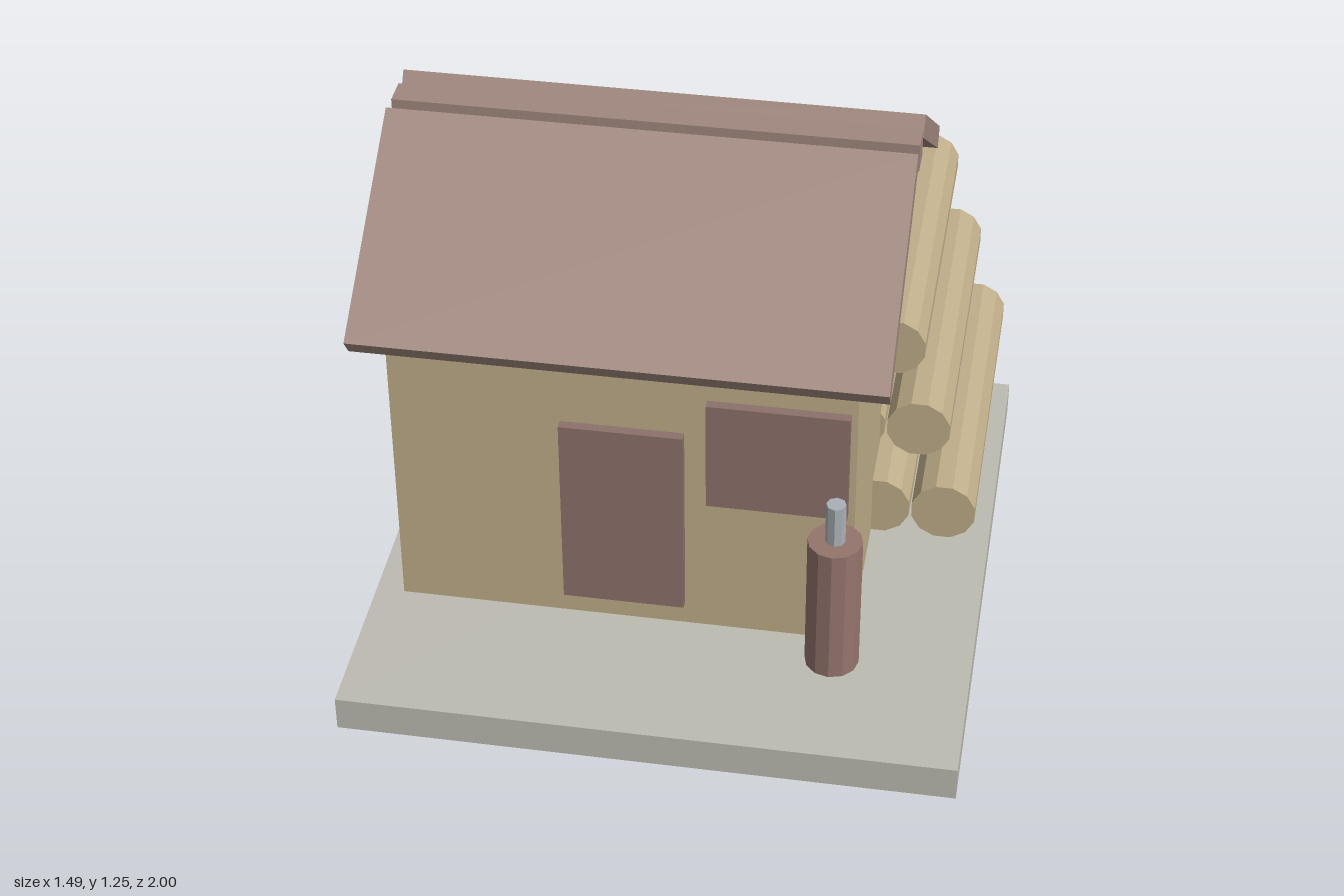
import * as THREE from 'three';

const mat = (color) => new THREE.MeshStandardMaterial({ color, flatShading: true });

export function createModel() {
  const group = new THREE.Group();
  const stone = mat(0xbdbbb2), timber = mat(0xc0ae8a), roofing = mat(0xa1887f);
  const panel = mat(0x8d716c), drum = mat(0x94756d), metal = mat(0xa9b0b5);

  const add = (name, geometry, material, x, y, z) => {
    const mesh = new THREE.Mesh(geometry, material);
    mesh.name = name;
    mesh.position.set(x, y, z);
    group.add(mesh);
    return mesh;
  };
  // Box given by its lower and upper limits on each axis
  const box = (name, material, [x0, x1], [y0, y1], [z0, z1]) =>
    add(name, new THREE.BoxGeometry(x1 - x0, y1 - y0, z1 - z0), material,
      (x0 + x1) / 2, (y0 + y1) / 2, (z0 + z1) / 2);

  // Slab and cabin
  box('base', stone, [-0.743, 0.743], [0, 0.09], [-0.486, 1]);
  box('cabinWalls', timber, [-0.673, 0.443], [0.09, 0.865], [-0.371, 0.595]);
  box('door', panel, [-0.262, 0.035], [0.157, 0.68], [0.58, 0.619]);
  box('window', panel, [0.09, 0.427], [0.487, 0.784], [0.58, 0.619]);

  // Roof: two tilted slabs either side of a ridge beam
  const midX = -0.113, roofWidth = 1.265, ridgeZ = 0.11;
  for (const side of [1, -1]) {
    const slab = add(side > 0 ? 'frontRoof' : 'backRoof',
      new THREE.BoxGeometry(roofWidth, 0.056, 0.592), roofing, midX, 1.06, ridgeZ + side * 0.313);
    slab.rotation.x = side * THREE.MathUtils.degToRad(35);
  }
  add('ridgeBeam', new THREE.BoxGeometry(roofWidth, 0.073, 0.073), roofing, midX, 1.208, ridgeZ);

  // Log pile: three rows, each stepped further back
  const logGeometry = new THREE.CylinderGeometry(0.0825, 0.0825, 0.89, 12)
    .rotateY(Math.PI / 12).rotateX(Math.PI / 2);
  for (let row = 0; row < 3; row++) {
    for (let i = 0; i < 3 - row; i++) {
      add('log', logGeometry, timber,
        0.292 + row * 0.083 + i * 0.166, 0.171 + row * 0.1445, -0.27 - row * 0.1425);
    }
  }

  // Post with a metal stem
  add('post', new THREE.CylinderGeometry(0.066, 0.066, 0.375, 12), drum, 0.406, 0.2775, 0.669);
  add('postStem', new THREE.CylinderGeometry(0.024, 0.024, 0.125, 8), metal, 0.406, 0.5125, 0.669);

  return group;
}
